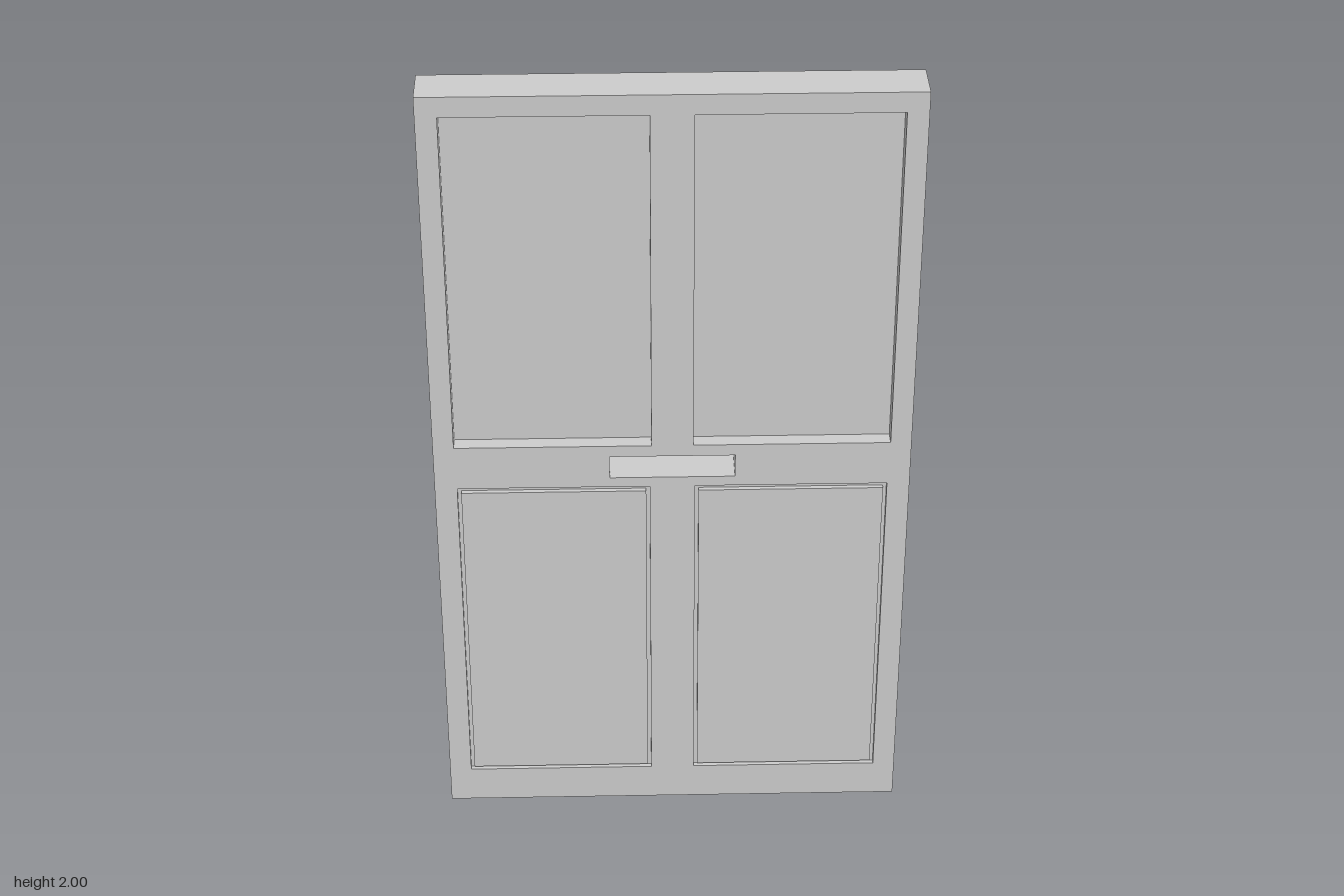
import * as THREE from 'three';

const WIDTH = 1.14, HEIGHT = 2, DEPTH = 0.114;
const UPPER = [0.05, 1.08, 0.52, 1.95]; // x0, y0, x1, y1 on the +x side
const LOWER = [0.054, 0.097, 0.516, 0.964];
const FIELD = [0.063, 0.106, 0.507, 0.951];
const SLOT = [-0.15, 0.99, 0.15, 1.05];

const mirror = ([x0, y0, x1, y1]) => [-x1, y0, -x0, y1];

function outline([x0, y0, x1, y1], Type = THREE.Shape) {
  return new Type([[x0, y0], [x1, y0], [x1, y1], [x0, y1]].map(p => new THREE.Vector2(...p)));
}

// Rectangular slab centred on z = 0, with optional rectangular openings
function slab(name, rect, depth, material, openings = []) {
  const shape = outline(rect);
  shape.holes = openings.map(r => outline(r, THREE.Path));
  const geometry = new THREE.ExtrudeGeometry(shape, { depth, bevelEnabled: false });
  geometry.translate(0, 0, -depth / 2);
  const mesh = new THREE.Mesh(geometry, material);
  mesh.name = name;
  return mesh;
}

export function createModel() {
  const door = new THREE.Group();
  door.name = 'door';
  const material = new THREE.MeshStandardMaterial({ color: 0xcccccc });

  // Stiles and rails, with a letter slot cut right through
  const openings = [SLOT, UPPER, mirror(UPPER), LOWER, mirror(LOWER)];
  door.add(slab('doorFrame', [-WIDTH / 2, 0, WIDTH / 2, HEIGHT], DEPTH, material, openings));

  for (const [side, place] of [['left', r => r], ['right', mirror]]) {
    // Thin pane set deep in the upper opening
    door.add(slab(side + 'UpperPane', place(UPPER), 0.038, material));
    // Lower panel flush with the frame, ringed by a shallow groove
    door.add(slab(side + 'LowerPanel', place(FIELD), DEPTH, material));
    door.add(slab(side + 'GrooveFloor', place(LOWER), 0.09, material, [place(FIELD)]));
  }
  return door;
}
